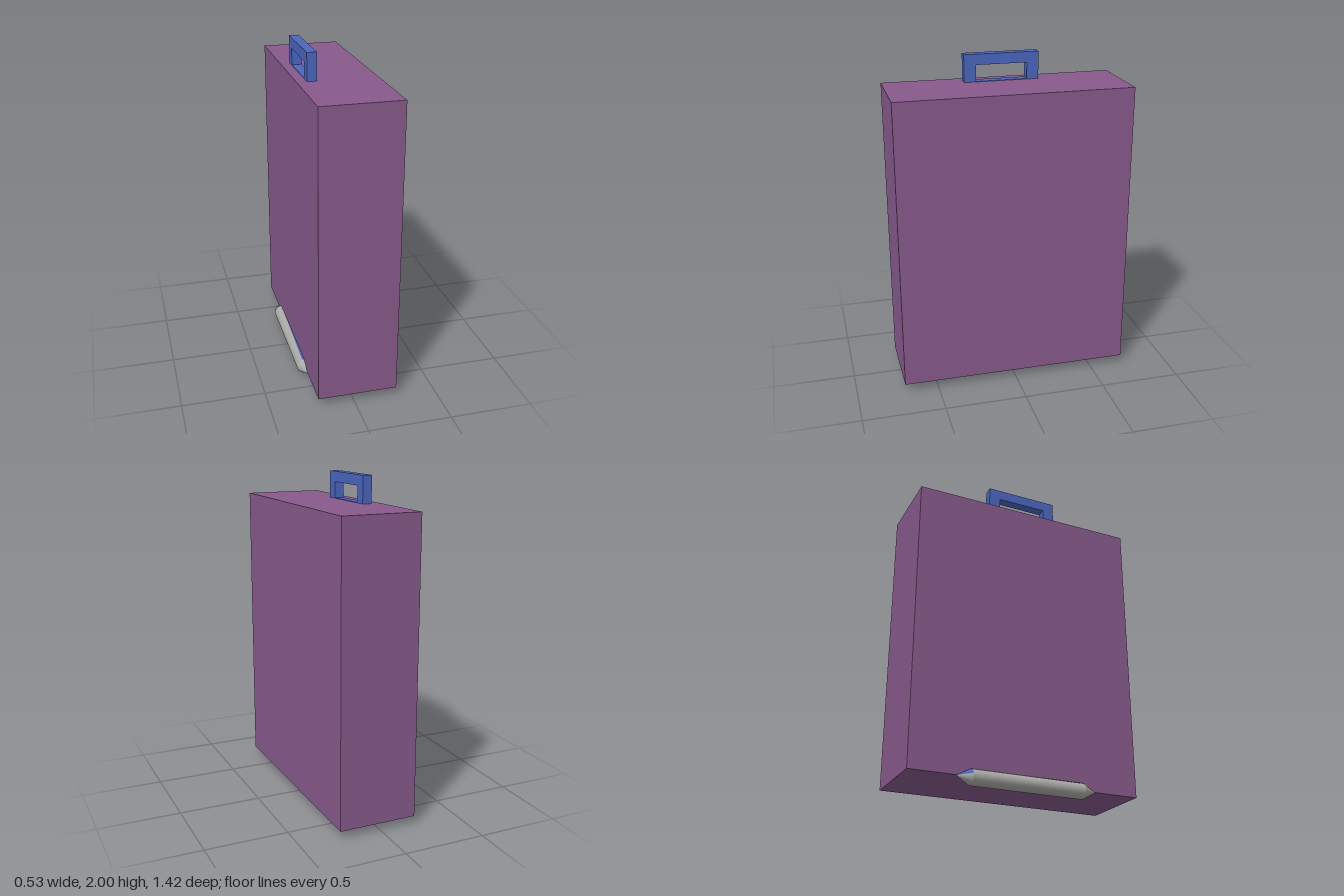
import * as THREE from 'three';

const purple = new THREE.MeshStandardMaterial({ color: 0x875a8b });
purple.name = 'purple';
const blue = new THREE.MeshStandardMaterial({ color: 0x4a66be, side: THREE.DoubleSide });
blue.name = 'blue';
const grey = new THREE.MeshStandardMaterial({ color: 0xa9a9a5 });
grey.name = 'grey';

function add(parent, name, geometry, material, x = 0, y = 0, z = 0) {
  const mesh = new THREE.Mesh(geometry, material);
  mesh.name = name;
  mesh.position.set(x, y, z);
  parent.add(mesh);
  return mesh;
}

// Section of a round bar lying along z; angles run from straight down
function barSection(rFront, rBack, length, start = 0, sweep = Math.PI * 2) {
  return new THREE.CylinderGeometry(rBack, rFront, length, 32, 1, true, start, sweep)
    .rotateX(-Math.PI / 2).rotateZ(Math.PI);
}

export function createModel() {
  const model = new THREE.Group();
  model.name = 'suitcase';

  // Case body
  add(model, 'caseBody', new THREE.BoxGeometry(0.48, 1.785, 1.416), purple, 0.022, 0.9425, 0);

  // Carrying handle: two posts, a grip and a thin base strip
  const handle = new THREE.Group();
  handle.name = 'handle';
  model.add(handle);
  const outline = new THREE.Shape();
  [[-0.228, 1.83], [-0.228, 2], [0.228, 2], [0.228, 1.83],
    [0.156, 1.83], [0.156, 1.936], [-0.156, 1.936], [-0.156, 1.83]]
    .forEach(([z, y], i) => (i ? outline.lineTo(z, y) : outline.moveTo(z, y)));
  const grip = new THREE.ExtrudeGeometry(outline, { depth: 0.058, bevelEnabled: false });
  grip.rotateY(-Math.PI / 2);
  add(handle, 'grip', grip, blue, -0.101, 0, 0);
  add(handle, 'baseStrip', new THREE.BoxGeometry(0.058, 0.005, 0.312), blue, -0.13, 1.8355, 0);

  // Tapered bar along the lower edge
  const bar = new THREE.Group();
  bar.name = 'lowerBar';
  bar.position.set(-0.217, 0.0465, 0);
  model.add(bar);
  const r = 0.0465;
  add(bar, 'barMiddle', barSection(r, r, 0.69), grey);
  add(bar, 'frontTip', barSection(0, r, 0.085), grey, 0, 0, 0.3875);

  // Rear tip, with a blue patch on its upper outer side
  const patchStart = Math.PI / 2 + 0.35;
  const tip = new THREE.ConeGeometry(r, 0.085, 32, 1, true).rotateX(-Math.PI / 2);
  add(bar, 'rearTip', tip, grey, 0, 0, -0.3875);
  const patch = [];
  const around = (a, radius, z) => patch.push(Math.cos(a) * radius, Math.sin(a) * radius, z);
  const steps = 8;
  for (let i = 0; i < steps; i++) {
    const a = Math.PI / 2 + (i / steps) * (patchStart - Math.PI / 2 + 0.95);
    const b = Math.PI / 2 + ((i + 1) / steps) * (patchStart - Math.PI / 2 + 0.95);
    around(a, r + 0.001, -0.345);
    around(b, r + 0.001, -0.345);
    around(0, 0, -0.432);
  }
  // Thin blue sliver against the case
  around(Math.PI / 2, r + 0.001, -0.32);
  around(Math.PI / 2, r + 0.001, 0.34);
  around(Math.PI / 2 + 0.3, r + 0.001, 0.34);
  around(Math.PI / 2, r + 0.001, 0.34);
  around(Math.PI / 2 + 0.3, r + 0.001, 0.34);
  around(0, 0, 0.432);
  const patchGeometry = new THREE.BufferGeometry();
  patchGeometry.setAttribute('position', new THREE.Float32BufferAttribute(patch, 3));
  patchGeometry.computeVertexNormals();
  add(bar, 'bluePatches', patchGeometry, blue);

  return model;
}
